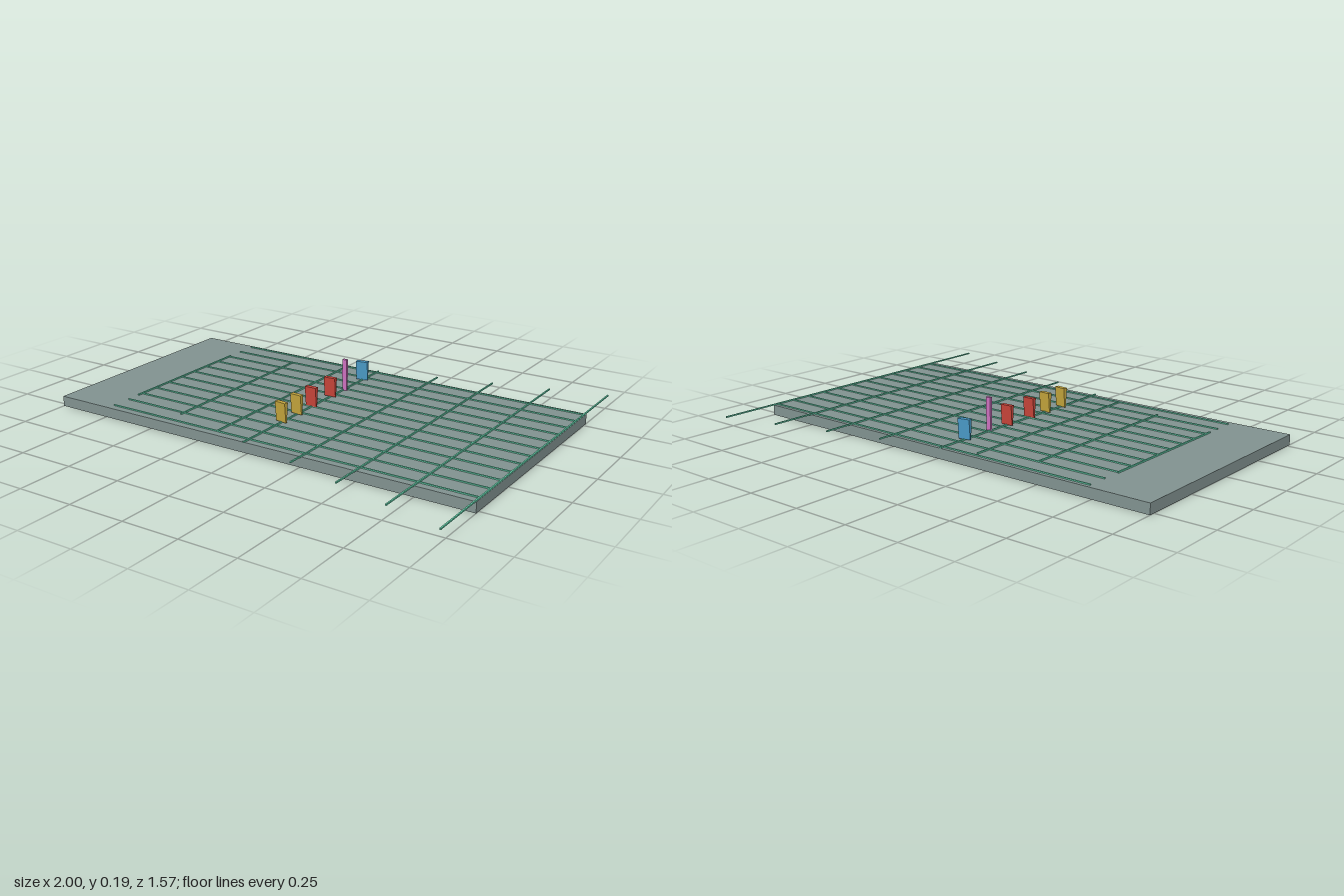
import * as THREE from 'three';

const mat = (name, color) => {
  const m = new THREE.MeshStandardMaterial({ color });
  m.name = name;
  return m;
};

export function createModel() {
  const model = new THREE.Group();
  model.name = 'laneBoard';
  const slate = mat('slate grey', 0x80918f);
  const teal = mat('teal', 0x62cda8);
  const gold = mat('gold', 0xc4a53c);
  const red = mat('red', 0xc9453a);
  const blue = mat('blue', 0x4b9cc9);
  const pink = mat('pink', 0xcb6fbd);

  const box = (name, material, w, h, d, x, y, z, parent = model) => {
    const mesh = new THREE.Mesh(new THREE.BoxGeometry(w, h, d), material);
    mesh.name = name;
    mesh.position.set(x, y, z);
    parent.add(mesh);
    return mesh;
  };

  // Slab
  const top = 0.045;
  box('slab', slate, 2, top, 1.045, 0, top / 2, -0.002);

  // Lane lines running along the slab
  const lanes = new THREE.Group();
  lanes.name = 'laneLines';
  model.add(lanes);
  for (let i = 0; i < 12; i++) {
    box('laneLine', teal, 1.73, 0.005, 0.006, 0.133, top + 0.0025, -0.505 + i * 0.09, lanes);
  }

  // Cross lines, growing longer towards +x: [x, half length]
  const crossLines = new THREE.Group();
  crossLines.name = 'crossLines';
  model.add(crossLines);
  [[-0.732, 0.332], [-0.423, 0.414], [-0.176, 0.485], [-0.015, 0.525],
    [0.256, 0.594], [0.502, 0.658], [0.749, 0.723], [0.996, 0.787]].forEach(([x, half]) => {
    box('crossLine', teal, 0.006, 0.006, half * 2, x, top + 0.003, 0, crossLines);
  });

  // Wedge markers, tapering in z towards the slab
  const wedge = (name, material, z, thick, turn) => {
    const h = 0.087;
    const shape = new THREE.Shape();
    shape.moveTo(-0.003, 0);
    shape.lineTo(0.003, 0);
    shape.lineTo(thick / 2, h);
    shape.lineTo(-thick / 2, h);
    shape.closePath();
    const geo = new THREE.ExtrudeGeometry(shape, { depth: 0.054, bevelEnabled: false });
    geo.translate(0, 0, -0.027).rotateY(Math.PI / 2);
    const mesh = new THREE.Mesh(geo, material);
    mesh.name = name;
    mesh.position.set(-0.016, 0.049, z);
    mesh.rotation.y = turn;
    model.add(mesh);
  };
  wedge('goldMarkerOuter', gold, 0.26, 0.02, -0.14);
  wedge('goldMarkerInner', gold, 0.148, 0.02, -0.08);
  wedge('redMarkerFront', red, 0.037, 0.02, -0.02);
  wedge('redMarkerBack', red, -0.112, 0.02, 0.05);
  wedge('blueMarker', blue, -0.38, 0.022, 0.18);

  // Tall post: slim stem below a wider head
  box('postStem', pink, 0.022, 0.065, 0.008, -0.007, 0.0795, -0.218);
  box('postHead', pink, 0.022, 0.08, 0.014, -0.007, 0.15, -0.219);

  return model;
}
